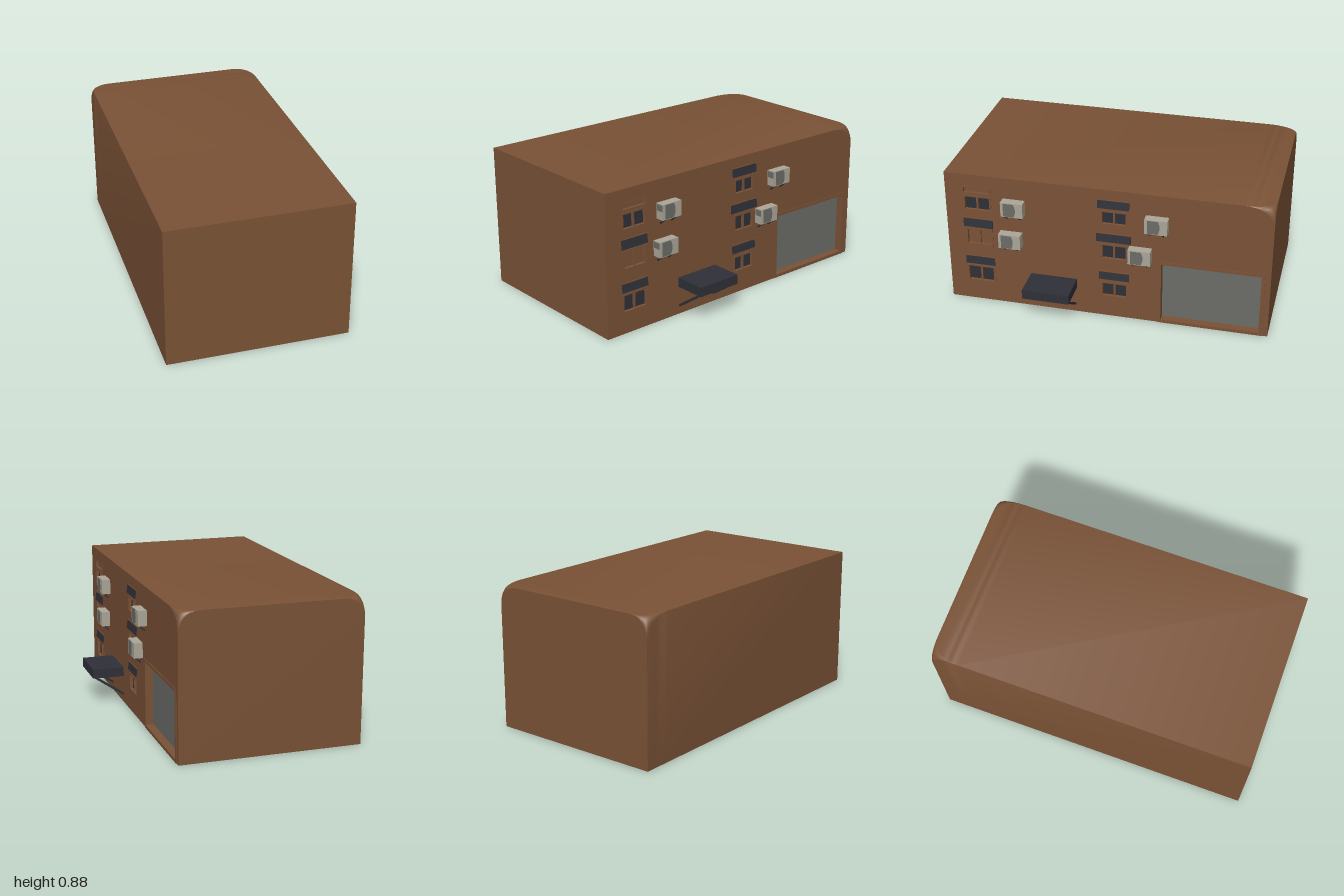
import * as THREE from 'three';
import { toCreasedNormals } from 'three/addons/utils/BufferGeometryUtils.js';

const material = (name, color, side = THREE.FrontSide) => {
  const m = new THREE.MeshStandardMaterial({ color, side });
  m.name = name;
  return m;
};

const H = 0.88, HALF = 0.555, CX = -0.1, WALL = CX + HALF;

export function createModel() {
  const brown = material('brown render', 0x7a5236);
  const dark = material('dark metal', 0x2f2f38);
  const grey = material('grey shutter', 0x6b6d68);
  const light = material('light casing', 0xaca698);

  const root = new THREE.Group();
  root.name = 'building';

  const add = (parent, name, geo, mat) => {
    const m = new THREE.Mesh(geo, mat);
    m.name = name;
    parent.add(m);
    return m;
  };
  const box = (parent, name, mat, x0, x1, y0, y1, z0, z1) => {
    const m = add(parent, name, new THREE.BoxGeometry(x1 - x0, y1 - y0, z1 - z0), mat);
    m.position.set((x0 + x1) / 2, (y0 + y1) / 2, (z0 + z1) / 2);
    return m;
  };
  const group = (name) => {
    const g = new THREE.Group();
    g.name = name;
    root.add(g);
    return g;
  };

  // Outlines on the side wall use u = -z, so a turn about y makes them face +x
  const rect = (T, y0, y1, z0, z1) => new T([
    [-z1, y0], [-z0, y0], [-z0, y1], [-z1, y1],
  ].map(([u, v]) => new THREE.Vector2(u, v)));

  // Body: sections along z whose top corners grow rounder towards the back
  const stations = [[1, 0]];
  for (let i = 0; i <= 10; i++) {
    const a = (i / 10) * Math.PI / 2;
    stations.push([-0.82 - 0.18 * Math.sin(a), 0.12 * (1 - Math.cos(a))]);
  }
  const section = (r) => {
    const pts = [[HALF, 0], [-HALF, 0]];
    for (const [c, start] of [[-HALF + r, Math.PI], [HALF - r, Math.PI / 2]])
      for (let k = 0; k <= 8; k++) {
        const a = start - (k / 8) * Math.PI / 2;
        pts.push([c + r * Math.cos(a), H - r + r * Math.sin(a)]);
      }
    return pts;
  };
  const pos = [], idx = [];
  const n = section(0).length;
  stations.forEach(([z, r], i) => {
    for (const [x, y] of section(r)) pos.push(x, y, z);
    if (i === 0) return;
    for (let j = 0; j < n - 1; j++) {
      const a = (i - 1) * n + j, c = i * n + j;
      idx.push(a, a + 1, c, a + 1, c + 1, c);
    }
  });
  const shell = new THREE.BufferGeometry();
  shell.setAttribute('position', new THREE.Float32BufferAttribute(pos, 3));
  shell.setIndex(idx);
  add(root, 'roofAndWalls', toCreasedNormals(shell, 0.6), brown).position.x = CX;

  // Flat end walls
  const end = (r) => new THREE.ShapeGeometry(new THREE.Shape(
    section(r).map(([x, y]) => new THREE.Vector2(x, y))));
  const frontShape = new THREE.PlaneGeometry(2 * HALF, H);
  add(root, 'frontWall', frontShape, brown).position.set(CX, H / 2, 1);
  const back = add(root, 'backWall', end(0.12), brown);
  back.rotation.y = Math.PI;
  back.position.set(CX, 0, -1);

  // Side wall, pierced for the windows and the garage
  const wall = new THREE.Shape([
    new THREE.Vector2(-1, 0), new THREE.Vector2(1, 0),
    ...stations.slice().reverse().map(([z, r]) => new THREE.Vector2(-z, H - r)),
  ]);

  // A frame set into the wall: outer edge, border width, depth behind the wall
  const frame = (parent, name, y0, y1, z0, z1, b, depth, proud) => {
    const e = b / 2;
    wall.holes.push(rect(THREE.Path, y0 + e, y1 - e, z0 + e, z1 - e));
    const s = rect(THREE.Shape, y0, y1, z0, z1);
    s.holes.push(rect(THREE.Path, y0 + b, y1 - b, z0 + b, z1 - b));
    const g = new THREE.ExtrudeGeometry(s, { depth: depth + proud, bevelEnabled: false });
    g.rotateY(Math.PI / 2);
    add(parent, name, g, brown).position.x = WALL - depth;
  };

  // Garage
  const garage = group('garage');
  frame(garage, 'garageFrame', 0.0, 0.435, -0.965, -0.322, 0.02, 0.05, 0.004);
  box(garage, 'garageDoor', grey, WALL - 0.055, WALL - 0.045, 0.015, 0.42, -0.95, -0.34);

  // Windows: [y0, y1, z0, z1, pane material, transom y0, y1, z0, z1]
  const windows = [
    [0.63, 0.742, 0.71, 0.89, dark, 0.75, 0.80, 0.71, 0.89],
    [0.39, 0.513, 0.71, 0.885, brown, 0.522, 0.58, 0.707, 0.893],
    [0.125, 0.25, 0.707, 0.893, dark, 0.258, 0.312, 0.707, 0.893],
    [0.64, 0.745, -0.135, 0.033, dark, 0.758, 0.812, -0.145, 0.048],
    [0.40, 0.517, -0.135, 0.033, dark, 0.53, 0.585, -0.155, 0.058],
    [0.133, 0.247, -0.138, 0.033, dark, 0.265, 0.317, -0.145, 0.043],
  ];
  windows.forEach(([y0, y1, z0, z1, pane, t0, t1, tz0, tz1], i) => {
    const g = group('window' + (i + 1));
    frame(g, 'windowFrame', y0, y1, z0, z1, 0.013, 0.02, 0.003);
    box(g, 'panes', pane, WALL - 0.024, WALL - 0.016, y0 + 0.005, y1 - 0.005, z0 + 0.005, z1 - 0.005);
    const zc = (z0 + z1) / 2;
    box(g, 'mullion', brown, WALL - 0.018, WALL - 0.004, y0 + 0.008, y1 - 0.008, zc - 0.006, zc + 0.006);
    if (i === 0) {
      // Open transom without a shutter
      frame(g, 'transomFrame', t0, t1, tz0, tz1, 0.008, 0.02, 0.003);
      box(g, 'transomBack', brown, WALL - 0.024, WALL - 0.016, t0 + 0.003, t1 - 0.003, tz0 + 0.003, tz1 - 0.003);
    } else {
      // Shutter leaning out at its foot
      const s = box(g, 'transomShutter', dark, WALL, WALL + 0.005, t0, t1, tz0, tz1);
      s.rotation.z = 0.13;
      box(g, 'transomRail', brown, WALL - 0.002, WALL + 0.004, t1 - 0.001, t1 + 0.004, tz0, tz1);
    }
  });

  const wallGeo = new THREE.ShapeGeometry(wall);
  wallGeo.rotateY(Math.PI / 2);
  add(root, 'sideWall', wallGeo, brown).position.x = WALL;

  // A square bar between two points in a plane of constant z
  const bar = (parent, name, x0, y0, x1, y1, z, t) => {
    const m = add(parent, name, new THREE.BoxGeometry(Math.hypot(x1 - x0, y1 - y0), t, t), dark);
    m.position.set((x0 + x1) / 2, (y0 + y1) / 2, z);
    m.rotation.z = Math.atan2(y1 - y0, x1 - x0);
  };

  // Air conditioners
  for (const [y, z] of [[0.648, 0.566], [0.425, 0.59], [0.648, -0.315], [0.425, -0.215]]) {
    const g = group('airConditioner');
    box(g, 'casing', light, WALL, 0.51, y, y + 0.095, z - 0.069, z + 0.069);

    // Fan panel with a bowed edge
    const s = new THREE.Shape();
    s.moveTo(-0.052, 0.004);
    s.lineTo(0.012, 0.004);
    s.quadraticCurveTo(0.036, 0.048, 0.012, 0.091);
    s.lineTo(-0.052, 0.091);
    const fan = new THREE.ShapeGeometry(s);
    fan.rotateY(Math.PI / 2);
    add(g, 'fanPanel', fan, grey).position.set(0.5115, y, z);

    // Side vent and mounting brackets
    box(g, 'sideVent', grey, WALL + 0.006, 0.506, y + 0.052, y + 0.09, z + 0.067, z + 0.071);
    for (const dz of [-0.038, 0.045]) {
      bar(g, 'bracketArm', WALL, y - 0.003, 0.505, y - 0.003, z + dz, 0.007);
      bar(g, 'bracketStrut', 0.498, y - 0.002, WALL + 0.004, y - 0.034, z + dz, 0.008);
    }
  }

  // Entrance canopy on two diagonal struts
  const canopy = group('canopy');
  box(canopy, 'canopySlab', dark, WALL, 0.655, 0.177, 0.236, 0.183, 0.475);
  for (const z of [0.463, 0.196])
    bar(canopy, 'canopyStrut', 0.642, 0.182, WALL, 0.053, z, 0.014);

  return root;
}
